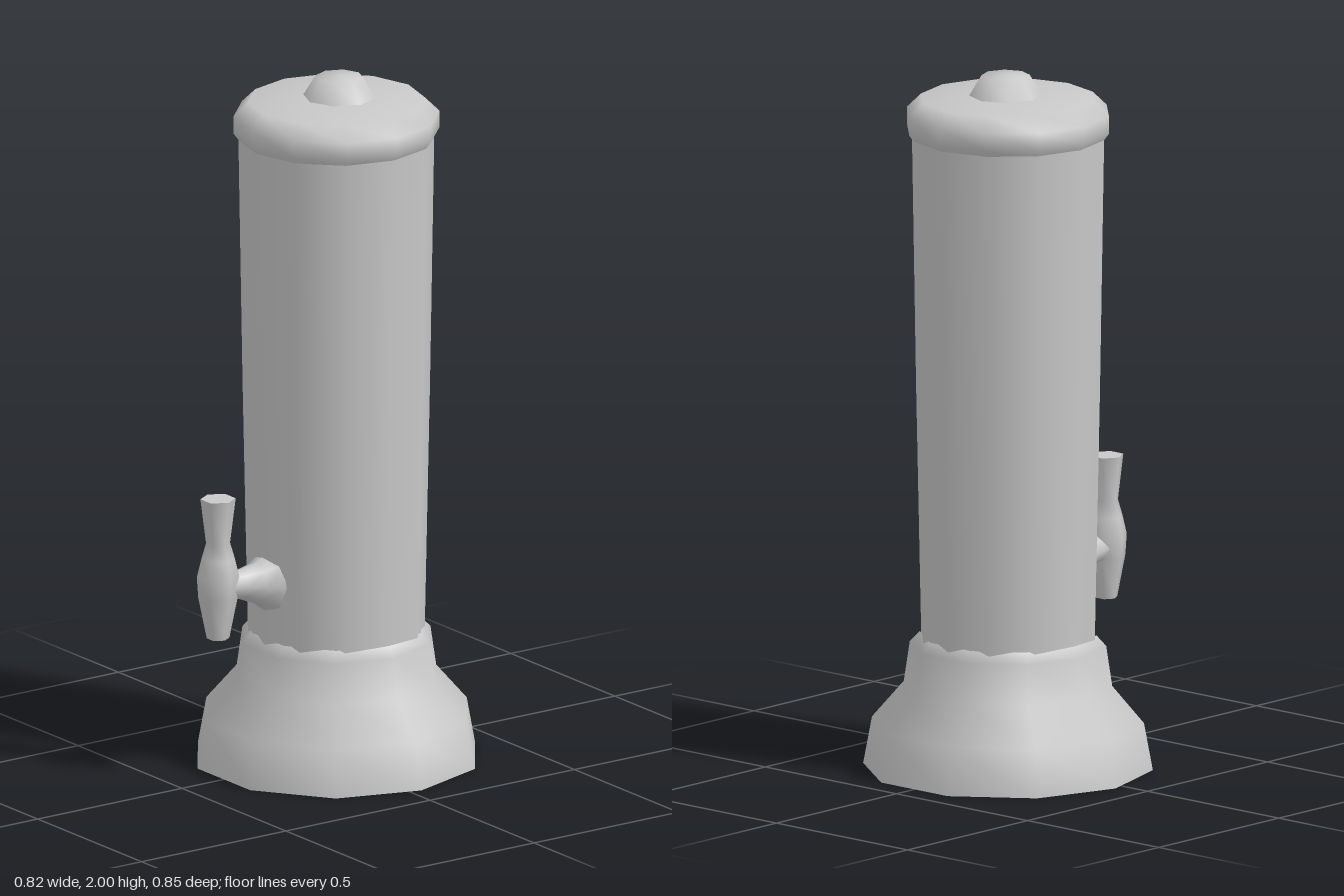
import * as THREE from 'three';

export function createModel() {
  const group = new THREE.Group();
  const metal = new THREE.MeshStandardMaterial({ color: 0xc8c8c8 });
  metal.name = 'brushed grey';
  const axisZ = -0.035;

  // Turned part from [radius, height] pairs, listed bottom to top
  function turned(name, profile, sides, z = axisZ) {
    const points = profile.map(([r, y]) => new THREE.Vector2(r, y));
    const mesh = new THREE.Mesh(new THREE.LatheGeometry(points, sides, Math.PI / 2), metal);
    mesh.name = name;
    mesh.position.z = z;
    group.add(mesh);
    return mesh;
  }

  // Flared foot and its flat underside
  turned('base', [[0.41, 0], [0.385, 0.135], [0.295, 0.24], [0.278, 0.355], [0.25, 0.385]], 10);
  turned('baseUnderside', [[0, 0], [0.41, 0]], 10);

  // Tall, slightly widening tank
  turned('tank', [[0.25, 0.37], [0.265, 1.1], [0.277, 1.83]], 12);

  // Rounded lid with a small knob
  turned('lid', [[0.265, 1.805], [0.291, 1.84], [0.291, 1.89], [0.25, 1.93], [0.09, 1.94], [0, 1.942]], 12);
  turned('knob', [[0.105, 1.935], [0.068, 1.997], [0, 2]], 8, -0.045);

  // Tap handle: pinched neck above a swollen body
  turned('tapHandle', [
    [0.032, 0.42], [0.056, 0.54], [0.06, 0.6], [0.047, 0.655],
    [0.034, 0.7], [0.05, 0.83],
  ], 6, 0.375);
  turned('tapHandleTop', [[0.05, 0.83], [0, 0.83]], 6, 0.375);
  turned('tapHandleBottom', [[0, 0.42], [0.032, 0.42]], 6, 0.375);

  // Spout flaring where it meets the tank
  const spout = turned('spout', [[0.088, 0], [0.06, 0.045], [0.043, 0.1], [0.04, 0.16]], 8, 0.2);
  spout.rotation.x = Math.PI / 2 - 0.1;
  spout.position.y = 0.555;

  return group;
}
